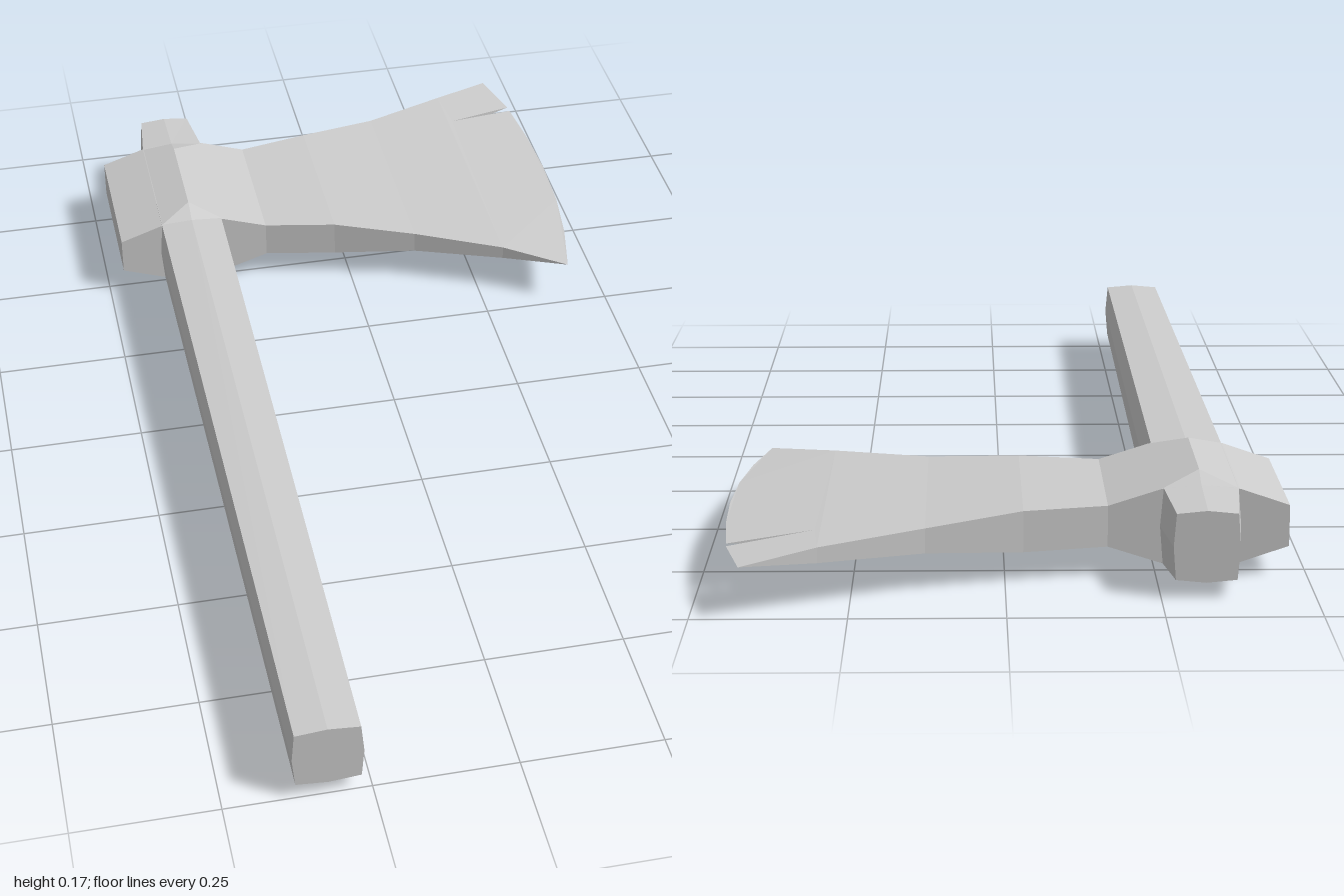
import * as THREE from 'three';

const MID = 0.085;      // height of the symmetry plane
const AXIS = -0.323;    // x of the handle axis
const material = new THREE.MeshStandardMaterial({ color: 0xcccccc, flatShading: true });

// Slab mirrored about the mid plane. Points are [x, z, halfThickness];
// rim is an open path, clockwise from above, that gets side walls.
function slab(name, panels, rim) {
  const pos = [];
  const put = (p, side) => pos.push(p[0], MID + side * p[2], p[1]);
  for (const panel of panels) {
    const flat = panel.map(p => new THREE.Vector2(p[0], p[1]));
    for (const face of THREE.ShapeUtils.triangulateShape(flat, [])) {
      let [a, b, c] = face.map(i => panel[i]);
      const turn = (b[0] - a[0]) * (c[1] - a[1]) - (b[1] - a[1]) * (c[0] - a[0]);
      if (turn > 0) [b, c] = [c, b];
      [a, b, c].forEach(p => put(p, 1));
      [a, c, b].forEach(p => put(p, -1));
    }
  }
  for (let i = 0; i < rim.length - 1; i++) {
    const a = rim[i], b = rim[i + 1];
    if (a[2] + b[2] === 0) continue;
    put(a, -1); put(a, 1); put(b, 1);
    put(a, -1); put(b, 1); put(b, -1);
  }
  const geo = new THREE.BufferGeometry();
  geo.setAttribute('position', new THREE.Float32BufferAttribute(pos, 3));
  geo.computeVertexNormals();
  const mesh = new THREE.Mesh(geo, material);
  mesh.name = name;
  return mesh;
}

// Squared-off octagonal shaft, swelling slightly where it enters the head
function makeHandle() {
  const stations = [ // z, half width, half height
    [-0.9, 0.054, 0.06], [-0.78, 0.067, 0.07], [-0.48, 0.067, 0.07], [1, 0.06, 0.06],
  ];
  const geo = new THREE.CylinderGeometry(1, 1, 3, 8, 3).rotateX(Math.PI / 2).toNonIndexed();
  const p = geo.attributes.position;
  const square = v => Math.abs(v) < 0.1 ? 0 : Math.sign(v) * (Math.abs(v) > 0.9 ? 1 : 0.92);
  for (let i = 0; i < p.count; i++) {
    const [z, w, h] = stations[Math.round(p.getZ(i) + 1.5)];
    p.setXYZ(i, AXIS + square(p.getX(i)) * w, MID + square(p.getY(i)) * h, z);
  }
  geo.computeVertexNormals();
  const mesh = new THREE.Mesh(geo, material);
  mesh.name = 'handle';
  return mesh;
}

// Socket block with a ridge over the handle, sloped off at both ends
function makeHead() {
  const row = z => [[-0.47, z, 0.035], [-0.388, z, 0.063], [AXIS, z, 0.07], [-0.257, z, 0.063], [-0.17, z, 0.035]];
  const back = row(-0.78), front = row(-0.48);
  const ridgeBack = [AXIS, -0.735, 0.085], ridgeFront = [AXIS, -0.525, 0.085];
  const panels = [
    [back[0], back[1], front[1], front[0]],
    [back[3], back[4], front[4], front[3]],
    [back[1], ridgeBack, ridgeFront, front[1]],
    [ridgeBack, back[3], front[3], ridgeFront],
  ];
  for (const [end, ridge] of [[back, ridgeBack], [front, ridgeFront]]) {
    panels.push([end[1], end[2], ridge], [end[2], end[3], ridge]);
  }
  return slab('axeHead', panels, [...front.reverse(), ...back]);
}

// Flared blade thinning to a sharp curved edge with a narrow crack
function makeBlade() {
  const back = [[-0.17, -0.78, 0.035], [-0.03, -0.81, 0.035], [0.13, -0.86, 0.021], [0.3, -0.937, 0.013]];
  const front = [[-0.17, -0.48, 0.035], [-0.03, -0.453, 0.035], [0.13, -0.405, 0.021], [0.3, -0.33, 0.013]];
  const edge = [
    [0.42, -1, 0], [0.449, -0.885, 0], [0.31, -0.835, 0.012], [0.45, -0.87, 0],
    [0.461, -0.75, 0], [0.465, -0.63, 0], [0.46, -0.5, 0], [0.445, -0.38, 0], [0.42, -0.26, 0],
  ];
  const panels = [0, 1, 2].map(i => [back[i], back[i + 1], front[i + 1], front[i]]);
  panels.push([back[3], ...edge, front[3]]);
  return slab('blade', panels, [...back, ...edge, ...front.reverse()]);
}

export function createModel() {
  const group = new THREE.Group();
  group.name = 'axe';
  group.add(makeHandle(), makeHead(), makeBlade());
  return group;
}
